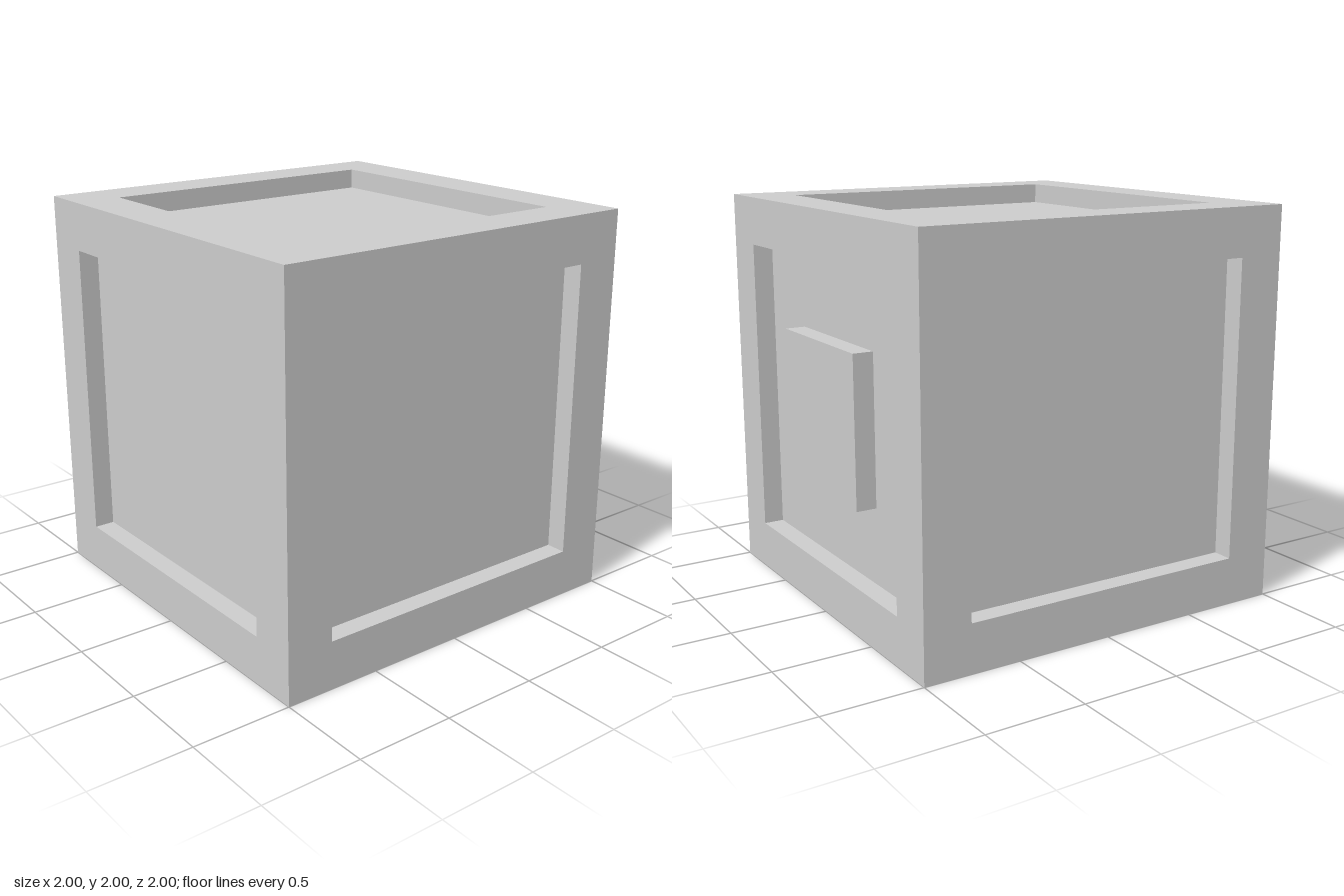
import * as THREE from 'three';

const HALF = 1;       // half the cube's side
const OPENING = 0.757; // half the recess opening
const FLOOR = 0.897;   // distance of recess floor from the centre
const PAD = 0.375;    // half the raised pad's side

export function createModel() {
  const model = new THREE.Group();
  const material = new THREE.MeshStandardMaterial({ color: 0xcccccc, flatShading: true });

  // Square rim, recess walls and floor: a four-sided lathe of the side's profile
  const profile = [[HALF, HALF], [OPENING, HALF], [OPENING, FLOOR], [0, FLOOR]]
    .map(([r, y]) => new THREE.Vector2(r * Math.SQRT2, y));
  const sideGeometry = new THREE.LatheGeometry(profile, 4, Math.PI / 4).toNonIndexed();
  sideGeometry.computeVertexNormals();

  // The six sides of the cube, each turned from the top position
  const q = Math.PI / 2;
  const sides = {
    topPanel: [0, 0],
    bottomPanel: [2 * q, 0],
    frontPanel: [q, 0],
    backPanel: [-q, 0],
    leftPanel: [0, -q],
    rightPanel: [0, q],
  };
  for (const [name, [rx, rz]] of Object.entries(sides)) {
    const panel = new THREE.Mesh(sideGeometry, material);
    panel.name = name;
    panel.rotation.set(rx, 0, rz);
    panel.position.y = HALF;
    model.add(panel);
  }

  // Raised square pad in the back recess, flush with the rim
  const depth = HALF - FLOOR;
  const pad = new THREE.Mesh(new THREE.BoxGeometry(2 * PAD, 2 * PAD, depth), material);
  pad.name = 'backPad';
  pad.position.set(0, HALF, -HALF + depth / 2);
  model.add(pad);

  return model;
}
